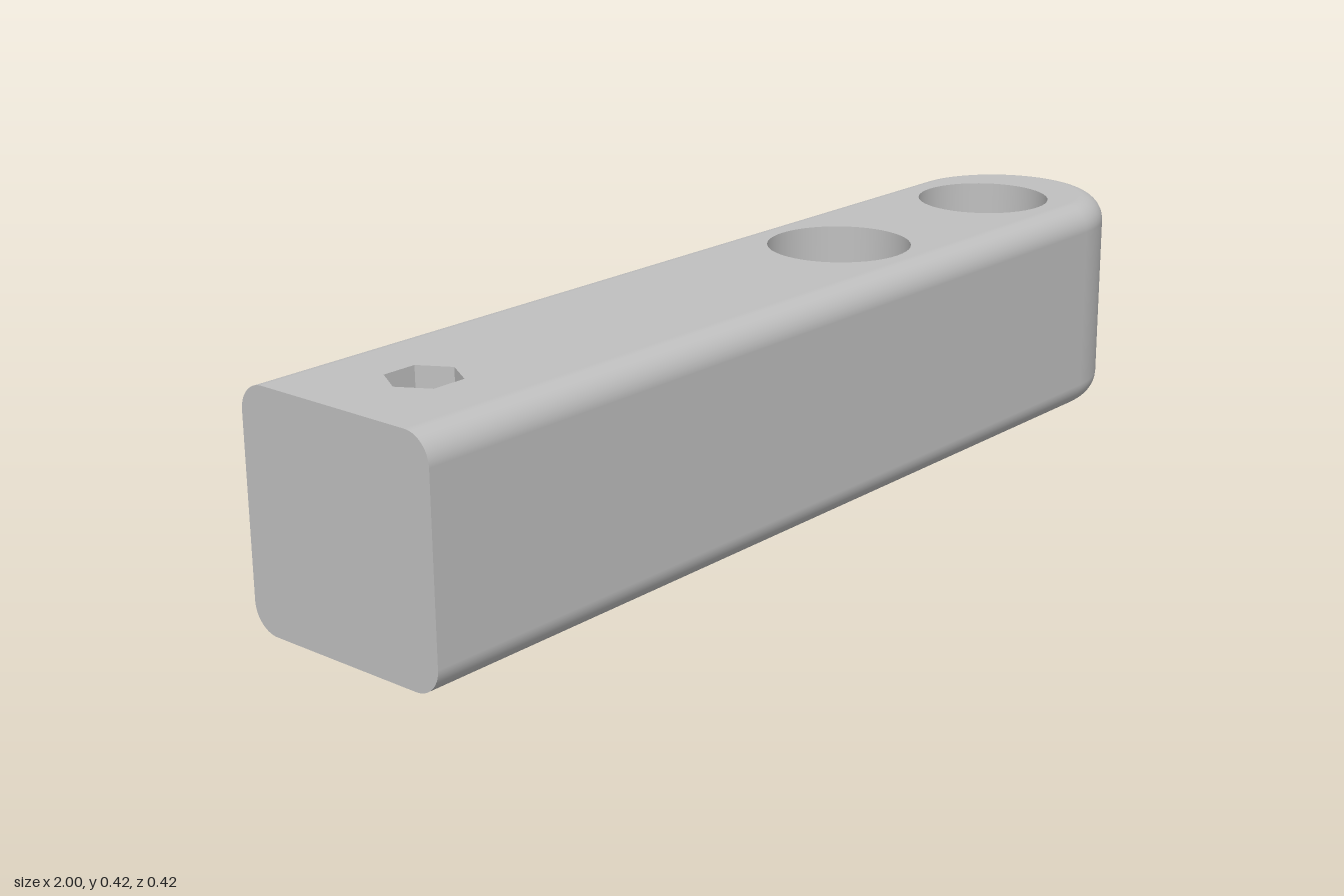
import * as THREE from 'three';

const R = 0.21, H = 0.42, FILLET = 0.05, ARC_X = 0.79, END_X = -1;
const SEG = 48, ARC_SEG = 40, FILLET_SEG = 10;

const polygon = (x, r, n) => Array.from({ length: n }, (_, i) => {
  const a = (i / n) * Math.PI * 2;
  return new THREE.Vector2(x + r * Math.cos(a), r * Math.sin(a));
});

// Plan outline of the bar at half width w, with the outward direction at each point
function outline(w) {
  const pts = [{ x: END_X, z: w, nx: 0, nz: 1 }];
  for (let i = 0; i <= ARC_SEG; i++) {
    const a = Math.PI / 2 - (i / ARC_SEG) * Math.PI;
    const nx = Math.cos(a), nz = Math.sin(a);
    pts.push({ x: ARC_X + w * nx, z: w * nz, nx, nz });
  }
  pts.push({ x: END_X, z: -w, nx: 0, nz: -1 });
  return pts;
}

// Long sides, round nose and filleted edges as one smooth skin
function sideSkin() {
  const levels = [];
  for (const top of [0, 1]) {
    for (let i = 0; i <= FILLET_SEG; i++) {
      const a = (i / FILLET_SEG - 1 + top) * Math.PI / 2;
      levels.push({ a, y: (top ? H - FILLET : FILLET) + FILLET * Math.sin(a) });
    }
  }
  const pos = [], nor = [], idx = [];
  const n = ARC_SEG + 3;
  levels.forEach(({ a, y }, j) => {
    const c = Math.cos(a), s = Math.sin(a);
    outline(R - FILLET + FILLET * c).forEach((p, i) => {
      pos.push(p.x, y, p.z);
      nor.push(p.nx * c, s, p.nz * c);
      if (j < levels.length - 1 && i < n - 1) {
        const k = j * n + i;
        idx.push(k, k + 1, k + n + 1, k, k + n + 1, k + n);
      }
    });
  });
  const g = new THREE.BufferGeometry();
  g.setAttribute('position', new THREE.Float32BufferAttribute(pos, 3));
  g.setAttribute('normal', new THREE.Float32BufferAttribute(nor, 3));
  g.setIndex(idx);
  return g;
}

// Flat horizontal face with holes, facing up or down
function flatFace(points, holes, y, up) {
  const shape = new THREE.Shape(points);
  shape.holes = holes.map(h => new THREE.Path(h));
  return new THREE.ShapeGeometry(shape).rotateX(up ? -Math.PI / 2 : Math.PI / 2).translate(0, y, 0);
}

// Inward-facing wall of a hole
function boreWall(x, r, y0, y1, n) {
  const pts = [new THREE.Vector2(r, y1), new THREE.Vector2(r, y0)];
  let g = new THREE.LatheGeometry(pts, n, Math.PI / 2);
  if (n < 12) {
    g = g.toNonIndexed();
    g.computeVertexNormals();
  }
  return g.translate(x, 0, 0);
}

export function createModel() {
  const model = new THREE.Group();
  model.name = 'drilledBar';
  const grey = new THREE.MeshStandardMaterial({ color: 0xc0c0c0 });
  grey.name = 'grey';
  const add = (name, geometry) => {
    const mesh = new THREE.Mesh(geometry, grey);
    mesh.name = name;
    model.add(mesh);
  };

  const DEPTH = 0.08;
  const hexHole = { x: -0.81, r: 0.065, n: 6 };
  const bigHole = { x: 0.25, r: 0.135, n: SEG };
  const screwHole = { x: 0.73, r: 0.05, n: SEG };
  const hexSink = { x: -0.81, r: 0.135, n: SEG };
  const screwSink = { x: 0.73, r: 0.13, n: SEG };
  const loop = h => polygon(h.x, h.r, h.n);
  const wall = (name, h, y0, y1) => add(name, boreWall(h.x, h.r, y0, y1, h.n));

  // Outer body
  add('sides', sideSkin());
  const plan = outline(R - FILLET).map(p => new THREE.Vector2(p.x, p.z));
  add('topFace', flatFace(plan, [hexHole, bigHole, screwSink].map(loop), H, true));
  add('bottomFace', flatFace(plan, [hexSink, bigHole, screwSink].map(loop), 0, false));

  // Flat square end with rounded corners
  const end = new THREE.Shape();
  const q = Math.PI / 2, w = R - FILLET;
  end.absarc(w, H - FILLET, FILLET, 0, q);
  end.absarc(-w, H - FILLET, FILLET, q, 2 * q);
  end.absarc(-w, FILLET, FILLET, 2 * q, 3 * q);
  end.absarc(w, FILLET, FILLET, 3 * q, 4 * q);
  add('endFace', new THREE.ShapeGeometry(end, FILLET_SEG).rotateY(-q).translate(END_X, 0, 0));

  // Plain through hole
  wall('throughHole', bigHole, 0, H);

  // Hexagonal hole opening into a round recess below
  wall('hexHole', hexHole, DEPTH, H);
  wall('hexRecessWall', hexSink, 0, DEPTH);
  add('hexRecessFloor', flatFace(loop(hexSink), [loop(hexHole)], DEPTH, false));

  // Screw hole with a round recess on both faces
  wall('screwHole', screwHole, DEPTH, H - DEPTH);
  wall('upperRecessWall', screwSink, H - DEPTH, H);
  wall('lowerRecessWall', screwSink, 0, DEPTH);
  add('upperRecessFloor', flatFace(loop(screwSink), [loop(screwHole)], H - DEPTH, true));
  add('lowerRecessFloor', flatFace(loop(screwSink), [loop(screwHole)], DEPTH, false));

  return model;
}
